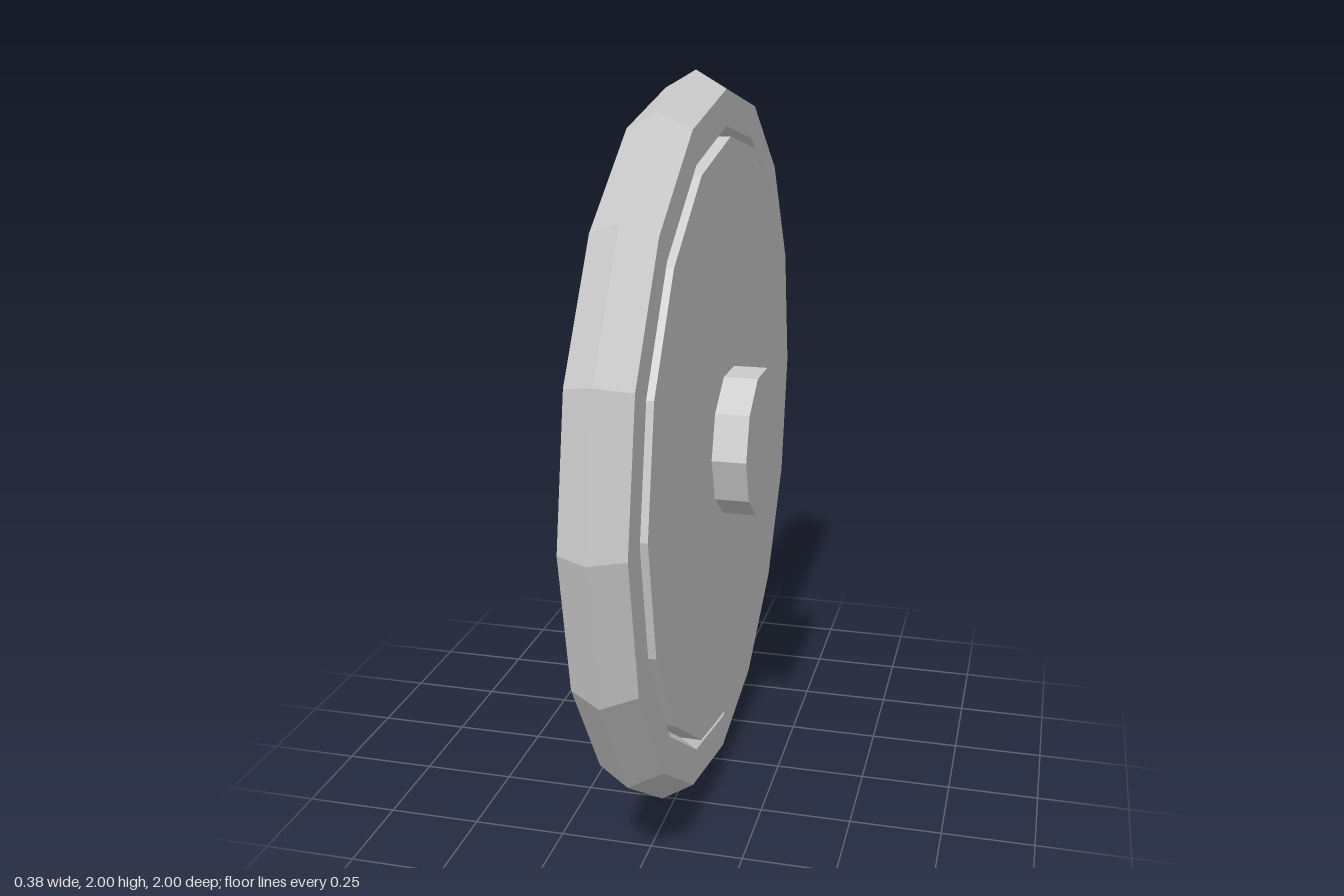
import * as THREE from 'three';

export function createModel() {
  const wheel = new THREE.Group();
  wheel.name = 'wheel';
  const material = new THREE.MeshStandardMaterial({ color: 0xcccccc, flatShading: true });

  const add = (name, geometry) => {
    const mesh = new THREE.Mesh(geometry, material);
    mesh.name = name;
    mesh.position.y = 1;
    wheel.add(mesh);
  };
  // Cylinder with its axis along x
  const axial = (radius, width, sides) =>
    new THREE.CylinderGeometry(radius, radius, width, sides).rotateZ(Math.PI / 2);

  // Tyre: hexagonal section swept round 16 segments
  add('tyre', new THREE.TorusGeometry(0.905, 0.095, 6, 16).rotateY(Math.PI / 2));
  // Solid disc filling the tyre
  add('disc', axial(0.83, 0.187, 16));
  // Hub protruding on both sides
  add('hub', axial(0.205, 0.375, 10));

  return wheel;
}
